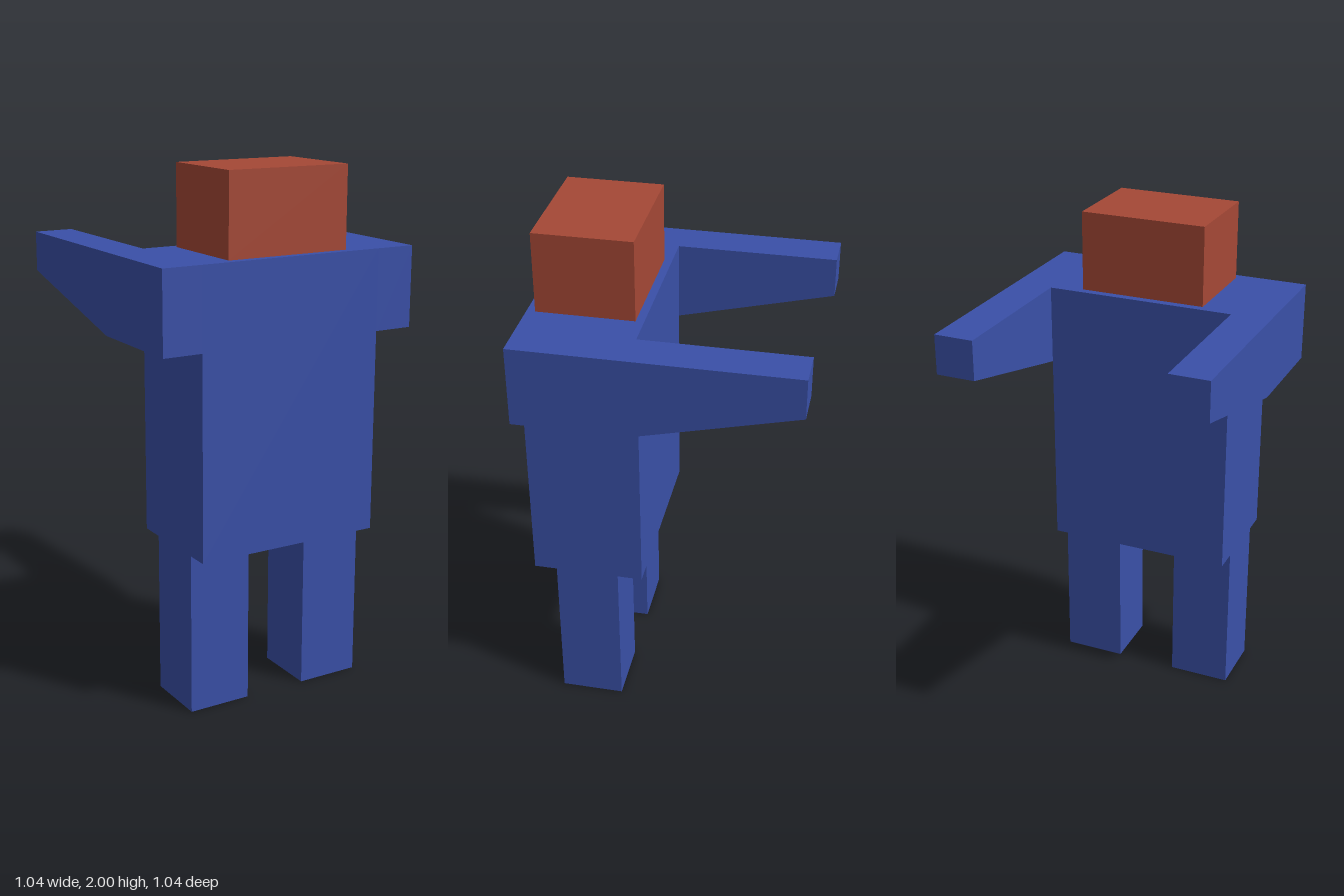
import * as THREE from 'three';

const blue = new THREE.MeshStandardMaterial({ color: 0x3a50a8 });
const red = new THREE.MeshStandardMaterial({ color: 0xa54836 });

// Box given by its min and max corners
function block(name, material, [x0, y0, z0], [x1, y1, z1]) {
  const mesh = new THREE.Mesh(new THREE.BoxGeometry(x1 - x0, y1 - y0, z1 - z0), material);
  mesh.position.set((x0 + x1) / 2, (y0 + y1) / 2, (z0 + z1) / 2);
  mesh.name = name;
  return mesh;
}

// Side profile (z, y) of shoulder and tapering arm, extruded across x
function armGeometry(width) {
  const profile = new THREE.Shape([
    [0.522, 1.388], [0.522, 1.694], [-0.522, 1.694], [-0.522, 1.541], [0.092, 1.388],
  ].map(([z, y]) => new THREE.Vector2(z, y)));
  return new THREE.ExtrudeGeometry(profile, { depth: width, bevelEnabled: false })
    .translate(0, 0, -width / 2)
    .rotateY(-Math.PI / 2);
}

export function createModel() {
  const model = new THREE.Group();
  model.name = 'figure';

  model.add(block('head', red, [-0.246, 1.694, 0.123], [0.246, 2, 0.49]));
  model.add(block('torso', blue, [-0.369, 0.62, 0.092], [0.369, 1.694, 0.522]));

  const armShape = armGeometry(0.153);
  for (const [side, s] of [['left', 1], ['right', -1]]) {
    // Arms reach backwards from the shoulders
    const arm = new THREE.Mesh(armShape, blue);
    arm.name = side + 'Arm';
    arm.position.x = s * 0.4455;
    model.add(arm);

    const leg = block(side + 'Leg', blue, [0.123, 0, 0.188], [0.369, 0.62, 0.434]);
    leg.position.x *= s;
    model.add(leg);
  }
  return model;
}
